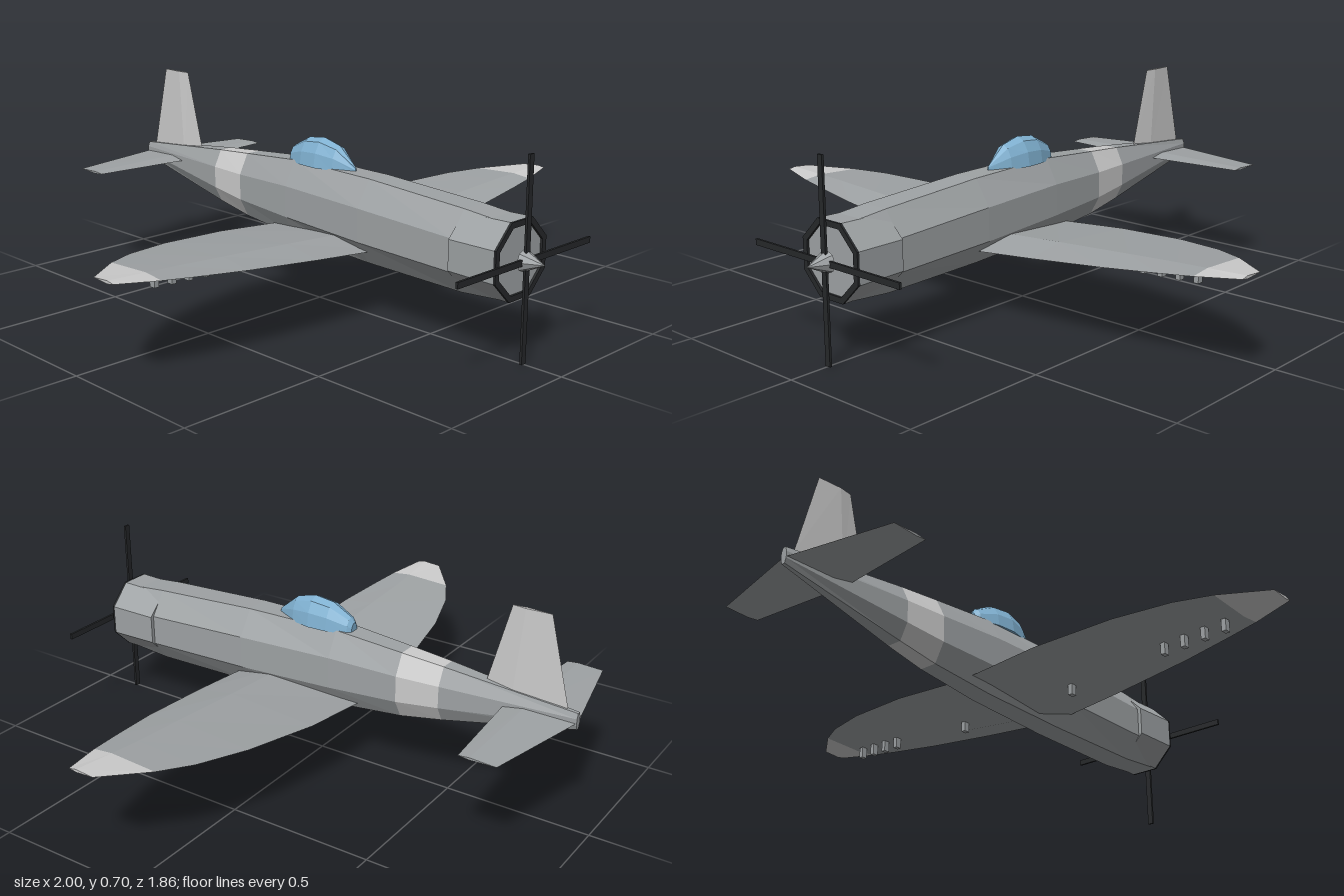
import * as THREE from 'three';

const mat = (color) => new THREE.MeshStandardMaterial({ color, flatShading: true });
const LIGHT = mat(0xcccccc), BODY = mat(0x9ea2a4), DARK = mat(0x26282a), GLASS = mat(0x7fb0d0);

// Faceted skin through rings of [x, y, z]; rings run counter-clockwise seen from the last ring's side
function loft(rings, capStart = true, capEnd = true) {
  const pos = [], n = rings[0].length;
  const tri = (a, b, c) => pos.push(...a, ...b, ...c);
  for (let r = 0; r < rings.length - 1; r++) {
    for (let i = 0; i < n; i++) {
      const j = (i + 1) % n, A = rings[r], B = rings[r + 1];
      tri(A[i], A[j], B[j]);
      tri(A[i], B[j], B[i]);
    }
  }
  const s = rings[0], e = rings[rings.length - 1];
  for (let i = 1; i < n - 1; i++) {
    if (capStart) tri(s[0], s[i + 1], s[i]);
    if (capEnd) tri(e[0], e[i], e[i + 1]);
  }
  const g = new THREE.BufferGeometry();
  g.setAttribute('position', new THREE.Float32BufferAttribute(pos, 3));
  g.computeVertexNormals();
  return g;
}

// Wedge-shaped aerofoil section across x: crest, leading edge, belly, trailing edge
const foil = ([x, y, lead, trail, t]) => {
  const crest = lead + (trail - lead) * 0.3;
  return [[x, y + t, crest], [x, y, lead], [x, y - t, crest], [x, y, trail]];
};
const mirrored = (half) => [
  ...half.slice(1).reverse().map(([x, ...rest]) => [-x, ...rest]), ...half,
];

// Eight-sided body section
const section = ([z, top, bottom, w, flat]) => {
  const h = top - bottom, hi = top - h * 0.31, lo = bottom + h * 0.29;
  return [[w, lo, z], [w, hi, z], [flat, top, z], [-flat, top, z],
    [-w, hi, z], [-w, lo, z], [-flat, bottom, z], [flat, bottom, z]];
};

const octagon = (r, target) => {
  for (let i = 0; i < 8; i++) {
    const a = Math.PI / 8 + i * Math.PI / 4;
    target[i ? 'lineTo' : 'moveTo'](r * Math.cos(a), r * Math.sin(a));
  }
  target.closePath();
  return target;
};

export function createModel() {
  const model = new THREE.Group();
  const add = (name, geometry, material, parent = model) => {
    const m = new THREE.Mesh(geometry, material);
    m.name = name;
    parent.add(m);
    return m;
  };

  // Fuselage from tail to nose: z, top, bottom, half width, half width of the flat top
  const body = [
    [-0.93, 0.41, 0.355, 0.012, 0.006],
    [-0.48, 0.451, 0.262, 0.056, 0.027],
    [-0.33, 0.462, 0.235, 0.068, 0.032],
    [-0.08, 0.48, 0.21, 0.084, 0.038],
    [0.27, 0.475, 0.195, 0.1, 0.044],
    [0.66, 0.453, 0.19, 0.105, 0.048],
    [0.82, 0.438, 0.202, 0.098, 0.048],
  ].map(section);
  add('rearFuselage', loft(body.slice(0, 2), true, false), BODY);
  add('fuselageBand', loft(body.slice(1, 3), false, false), LIGHT);
  add('frontFuselage', loft(body.slice(2), false, true), BODY);

  // Engine cowling with a dark front lip
  const noseY = 0.323;
  const cowlRing = (z, r) => Array.from({ length: 8 }, (_, i) => {
    const a = Math.PI / 8 + i * Math.PI / 4;
    return [r * Math.cos(a), noseY + r * Math.sin(a), z];
  });
  add('cowling', loft([cowlRing(0.66, 0.128), cowlRing(0.832, 0.132)]), BODY);
  const lipShape = octagon(0.132, new THREE.Shape());
  lipShape.holes.push(octagon(0.112, new THREE.Path()));
  add('cowlingLip', new THREE.ExtrudeGeometry(lipShape, { depth: 0.008, bevelEnabled: false }), DARK)
    .position.set(0, noseY, 0.832);

  // Propeller
  const propeller = new THREE.Group();
  propeller.name = 'propeller';
  propeller.position.set(0, noseY, 0.86);
  model.add(propeller);
  add('spinner', new THREE.ConeGeometry(0.036, 0.075, 8).rotateX(Math.PI / 2), BODY, propeller)
    .position.z = 0.028;
  for (let i = 0; i < 4; i++) {
    const blade = new THREE.BoxGeometry(0.02, 0.31, 0.008).translate(0, 0.167, 0);
    add('propellerBlade', blade.rotateZ(i * Math.PI / 2), DARK, propeller);
  }

  // Wing: x, height, leading z, trailing z, half thickness
  const wing = mirrored([
    [0, 0.238, 0.3, -0.177, 0.031],
    [0.3, 0.266, 0.295, -0.165, 0.023],
    [0.57, 0.291, 0.28, -0.118, 0.016],
    [0.75, 0.307, 0.257, -0.06, 0.011],
    [0.86, 0.317, 0.24, 0, 0.008],
    [1, 0.33, 0.205, 0.112, 0.005],
  ]).map(foil);
  add('wing', loft(wing.slice(1, -1), false, false), BODY);
  add('rightWingTip', loft(wing.slice(0, 2), true, false), LIGHT);
  add('leftWingTip', loft(wing.slice(-2), false, true), LIGHT);

  // Stubs under the wing: distance out, height, z
  for (const side of [-1, 1]) {
    for (const [x, y, z] of [[0.24, 0.226, 0.1], [0.6, 0.263, 0.115], [0.67, 0.269, 0.122],
      [0.74, 0.276, 0.13], [0.81, 0.283, 0.138]]) {
      add('wingStub', new THREE.BoxGeometry(0.016, 0.04, 0.022), BODY).position.set(side * x, y, z);
    }
  }

  // Tailplane
  add('tailplane', loft(mirrored([
    [0, 0.377, -0.69, -0.93, 0.01],
    [0.377, 0.377, -0.725, -0.85, 0.004],
  ]).map(foil)), BODY);

  // Fin
  const finRing = (y, lead, trail, t) => {
    const mid = lead + (trail - lead) * 0.35;
    return [[0, y, lead], [t, y, mid], [0, y, trail], [-t, y, mid]];
  };
  add('fin', loft([finRing(0.41, -0.612, -0.895, 0.011), finRing(0.705, -0.69, -0.82, 0.006)]), LIGHT);

  // Canopy: z, half width, top height
  const sill = 0.472;
  add('canopy', loft([
    [-0.127, 0.018, 0.505], [-0.115, 0.03, 0.523], [-0.045, 0.05, 0.56],
    [0.025, 0.055, 0.568], [0.095, 0.04, 0.55], [0.168, 0.003, 0.488],
  ].map(([z, w, top]) => Array.from({ length: 7 }, (_, i) => {
    const a = i * Math.PI / 6;
    return [w * Math.cos(a), sill + (top - sill) * Math.sin(a), z];
  }))), GLASS);

  return model;
}
